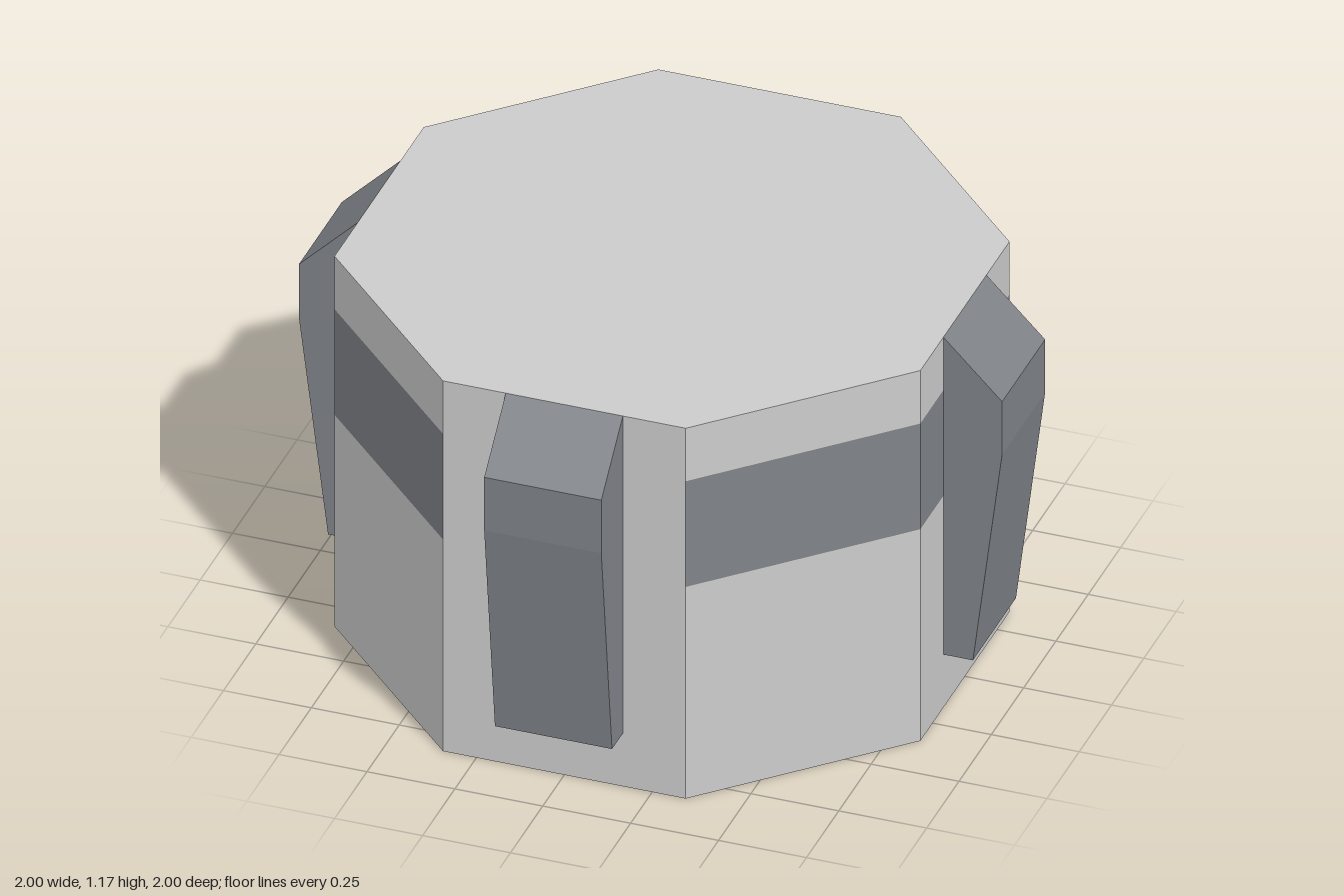
import * as THREE from 'three';

const APOTHEM = 0.833, HEIGHT = 1.167;
const RADIUS = APOTHEM / Math.cos(Math.PI / 8);
const BAND_LOW = 0.667, BAND_HIGH = 1.0;

export function createModel() {
  const group = new THREE.Group();
  const light = new THREE.MeshStandardMaterial({ color: 0xcccccc, flatShading: true });
  const dark = new THREE.MeshStandardMaterial({ color: 0x7f8388, flatShading: true });

  const add = (name, geometry, material) => {
    const mesh = new THREE.Mesh(geometry, material);
    mesh.name = name;
    group.add(mesh);
    return mesh;
  };

  // Octagonal wall of `count` sides between two heights; side 0 faces the front
  const wall = (name, y0, y1, first, count, material) => {
    const geometry = new THREE.CylinderGeometry(RADIUS, RADIUS, y1 - y0, count, 1, true,
      (first - 0.5) * Math.PI / 4, count * Math.PI / 4);
    return add(name, geometry.translate(0, (y0 + y1) / 2, 0), material);
  };

  // Body, with a flush dark band on every side but the front
  wall('lowerWall', 0, BAND_LOW, 0, 8, light);
  wall('upperWall', BAND_HIGH, HEIGHT, 0, 8, light);
  wall('frontPanel', BAND_LOW, BAND_HIGH, 0, 1, light);
  wall('band', BAND_LOW, BAND_HIGH, 1, 7, dark);

  // Flat top and bottom
  const cap = () => new THREE.CircleGeometry(RADIUS, 8, Math.PI / 8);
  add('top', cap().rotateX(-Math.PI / 2).translate(0, HEIGHT, 0), light);
  add('bottom', cap().rotateX(Math.PI / 2), light);

  // Four tapered buttresses, one per main side
  const profile = new THREE.Shape([
    [APOTHEM, 0.167], [0.917, 0.167], [1, 0.833], [1, 1], [APOTHEM, HEIGHT],
  ].map(([x, y]) => new THREE.Vector2(x, y)));
  const buttress = new THREE.ExtrudeGeometry(profile, { depth: 0.333, bevelEnabled: false });
  buttress.translate(0, 0, -0.1665);
  ['left', 'back', 'right', 'front'].forEach((side, i) => {
    add(side + 'Buttress', buttress, dark).rotation.y = i * Math.PI / 2;
  });

  return group;
}
